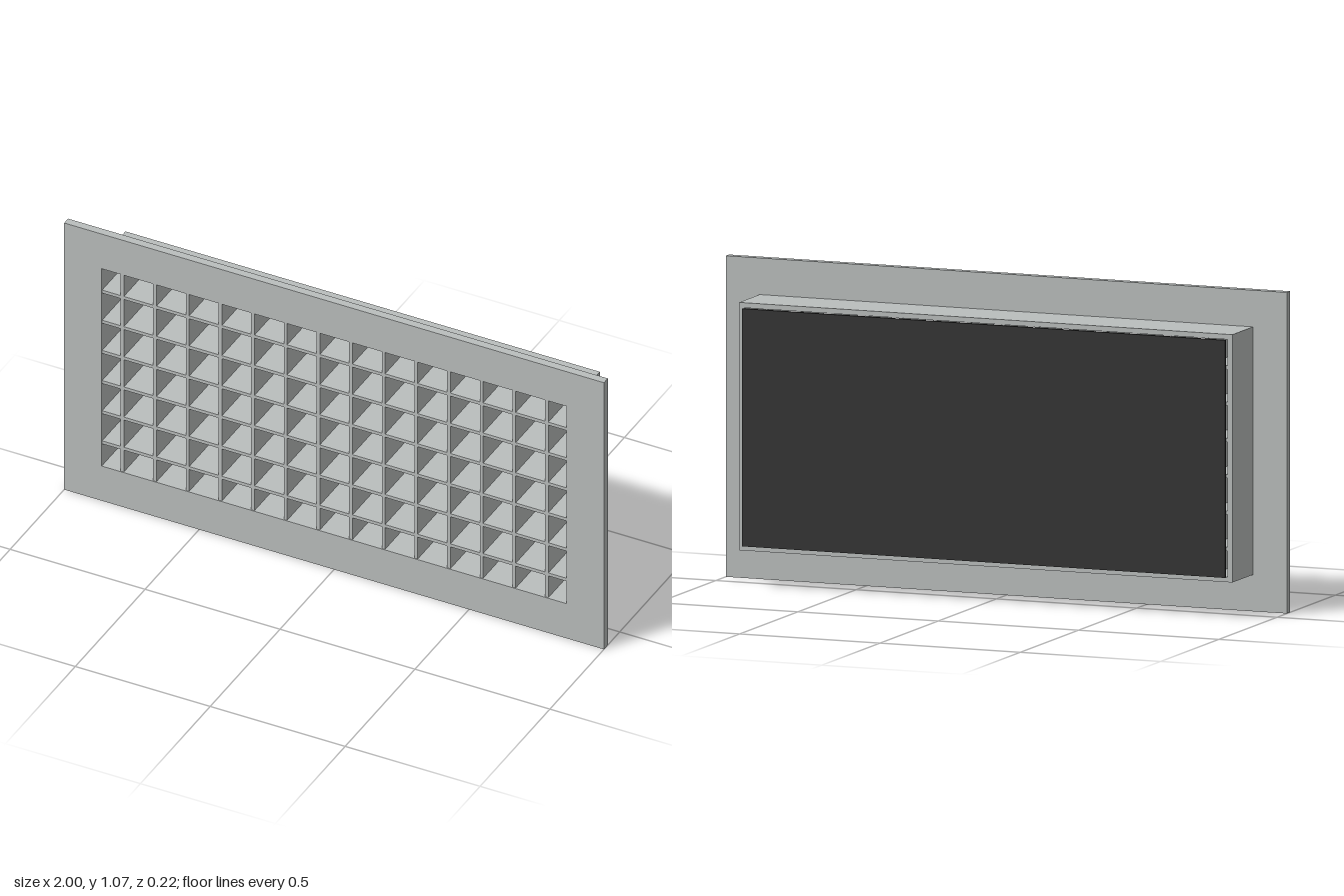
import * as THREE from 'three';

const CENTER_Y = 0.535;
const OPEN_W = 1.722, OPEN_H = 0.792; // clear opening
const PITCH = 0.121, BAR = 0.012;     // grid spacing and bar thickness
const FRONT = 0.113, FLANGE_BACK = 0.085, DUCT_BACK = -0.092;

function rectPoints(w, h) {
  return [[-w, -h], [w, -h], [w, h], [-w, h]].map(([x, y]) => new THREE.Vector2(x / 2, y / 2));
}

// Rectangular ring around the opening, from z0 to z1
function ring(name, w, h, z0, z1, material) {
  const shape = new THREE.Shape(rectPoints(w, h));
  shape.holes.push(new THREE.Path(rectPoints(OPEN_W, OPEN_H).reverse()));
  const geometry = new THREE.ExtrudeGeometry(shape, { depth: z1 - z0, bevelEnabled: false });
  const mesh = new THREE.Mesh(geometry, material);
  mesh.name = name;
  mesh.position.set(0, CENTER_Y, z0);
  return mesh;
}

function box(name, w, h, z0, z1, x, y, material) {
  const mesh = new THREE.Mesh(new THREE.BoxGeometry(w, h, z1 - z0), material);
  mesh.name = name;
  mesh.position.set(x, CENTER_Y + y, (z0 + z1) / 2);
  return mesh;
}

export function createModel() {
  const metal = new THREE.MeshStandardMaterial({ color: 0xbabebd });
  metal.name = 'light grey metal';
  const dark = new THREE.MeshStandardMaterial({ color: 0x333333 });
  dark.name = 'dark grey';

  const model = new THREE.Group();
  model.name = 'ventGrille';

  // Wall flange and the duct collar behind it
  model.add(ring('flange', 2, 1.07, FLANGE_BACK, FRONT, metal));
  model.add(ring('collar', 1.758, 0.826, DUCT_BACK, FLANGE_BACK, metal));

  // Egg-crate grid
  const grid = new THREE.Group();
  grid.name = 'grid';
  const barFront = FRONT - 0.003;
  for (let i = 0; i < 14; i++) {
    grid.add(box('verticalBar', BAR, OPEN_H, DUCT_BACK, barFront, (i - 6.5) * PITCH, 0, metal));
  }
  for (let i = 0; i < 6; i++) {
    grid.add(box('horizontalBar', OPEN_W, BAR, DUCT_BACK, barFront, 0, (i - 2.5) * PITCH, metal));
  }
  model.add(grid);

  // Back plate, standing just clear of the collar
  model.add(box('backPlate', OPEN_W, OPEN_H, -0.112, -0.102, 0, 0, dark));

  return model;
}
